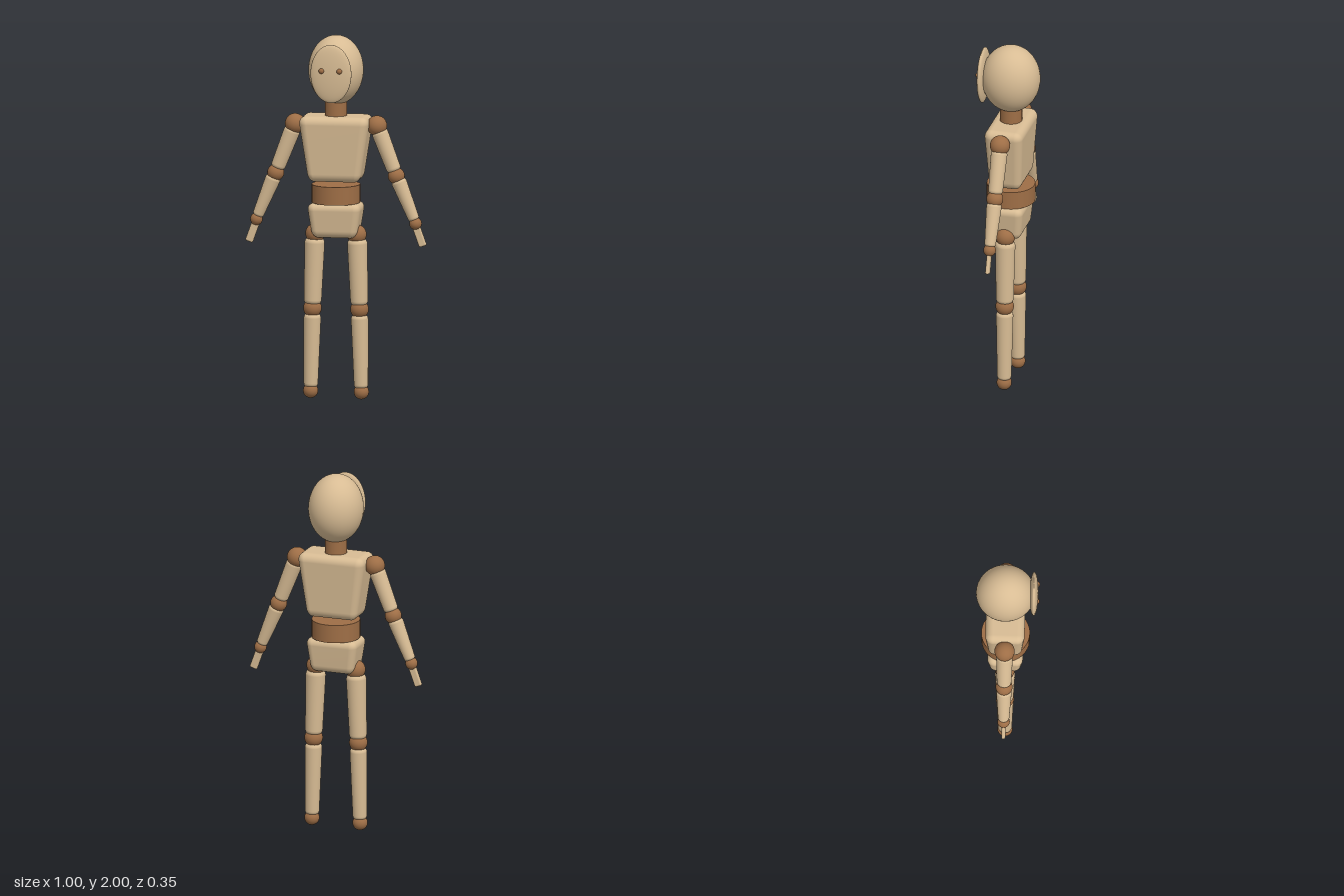
import * as THREE from 'three';
import { mergeVertices } from 'three/addons/utils/BufferGeometryUtils.js';
import { RoundedBoxGeometry } from 'three/addons/geometries/RoundedBoxGeometry.js';

const lightWood = new THREE.MeshStandardMaterial({ color: 0xd8bc94, name: 'lightWood' });
const darkWood = new THREE.MeshStandardMaterial({ color: 0x9e6e46, name: 'darkWood' });
const Z = -0.012; // depth of the body axis

function add(parent, name, geometry, material, x, y, z = Z) {
  const mesh = new THREE.Mesh(geometry, material);
  mesh.name = name;
  mesh.position.set(x, y, z);
  parent.add(mesh);
  return mesh;
}

function ball(parent, name, material, [x, y, z = Z], rx, ry = rx, rz = rx) {
  const geometry = new THREE.SphereGeometry(1, 40, 28).scale(rx, ry, rz);
  return add(parent, name, geometry, material, x, y, z);
}

// Rounded block that narrows towards its bottom
function taperedBlock(width, height, depth, radius, bottomX, bottomZ) {
  let geometry = new RoundedBoxGeometry(width, height, depth, 6, radius);
  const p = geometry.attributes.position;
  for (let i = 0; i < p.count; i++) {
    const t = 0.5 - p.getY(i) / height;
    p.setX(i, p.getX(i) * THREE.MathUtils.lerp(1, bottomX, t));
    p.setZ(i, p.getZ(i) * THREE.MathUtils.lerp(1, bottomZ, t));
  }
  geometry.deleteAttribute('normal');
  geometry.deleteAttribute('uv');
  geometry = mergeVertices(geometry, 1e-5);
  geometry.computeVertexNormals();
  return geometry;
}

// Turn a part so its own y axis runs from b up to a
function aim(mesh, a, b) {
  mesh.rotation.z = Math.atan2(b[0] - a[0], a[1] - b[1]);
  return mesh;
}

// Turned limb with rounded ends from a (top) to b (bottom)
function limb(parent, name, a, b, ra, rb) {
  const h = Math.hypot(a[0] - b[0], a[1] - b[1]) / 2;
  const points = [];
  const steps = 6;
  for (let i = 0; i <= steps; i++) {
    const t = (i / steps) * Math.PI / 2, c = rb * 0.55;
    points.push(new THREE.Vector2(rb - c + c * Math.sin(t), -h + c * (1 - Math.cos(t))));
  }
  for (let i = 0; i <= steps; i++) {
    const t = (i / steps) * Math.PI / 2, c = ra * 0.55;
    points.push(new THREE.Vector2(ra - c + c * Math.cos(t), h - c * (1 - Math.sin(t))));
  }
  points.unshift(new THREE.Vector2(0, -h));
  points.push(new THREE.Vector2(0, h));
  const geometry = new THREE.LatheGeometry(points, 32);
  return aim(add(parent, name, geometry, lightWood, (a[0] + b[0]) / 2, (a[1] + b[1]) / 2), a, b);
}

export function createModel() {
  const model = new THREE.Group();
  model.name = 'jointedFigure';

  // Head with raised face plate
  ball(model, 'head', lightWood, [0, 1.81], 0.15, 0.19, 0.161);
  ball(model, 'facePlate', lightWood, [0, 1.81, 0.142], 0.113, 0.16, 0.025);

  // Trunk
  add(model, 'neck', new THREE.CylinderGeometry(0.061, 0.061, 0.12, 40), darkWood, 0, 1.6);
  add(model, 'chest', taperedBlock(0.394, 0.36, 0.218, 0.045, 0.72, 0.82), lightWood, 0, 1.38);
  add(model, 'waist', new THREE.CylinderGeometry(0.132, 0.132, 0.1, 48), darkWood, 0, 1.132);
  add(model, 'pelvis', taperedBlock(0.3, 0.19, 0.2, 0.04, 0.81, 0.81), lightWood, 0, 0.987);

  for (const [side, s] of [['left', 1], ['right', -1]]) {
    const at = (x, y) => [s * x, y];
    ball(model, side + 'Eye', darkWood, [s * 0.049, 1.828, 0.158], 0.016);

    // Arm
    const arm = new THREE.Group();
    arm.name = side + 'Arm';
    model.add(arm);
    ball(arm, 'shoulder', darkWood, at(0.226, 1.508), 0.055);
    limb(arm, 'upperArm', at(0.236, 1.486), at(0.324, 1.258), 0.045, 0.04);
    ball(arm, 'elbow', darkWood, at(0.333, 1.235), 0.046);
    limb(arm, 'forearm', at(0.341, 1.218), at(0.433, 0.993), 0.042, 0.031);
    ball(arm, 'wrist', darkWood, at(0.439, 0.976), 0.034);
    const top = at(0.439, 0.967), tip = at(0.481, 0.85);
    const hand = new RoundedBoxGeometry(0.044, 0.124, 0.022, 4, 0.01);
    aim(add(arm, 'hand', hand, lightWood, s * 0.46, 0.909), top, tip);

    // Leg
    const leg = new THREE.Group();
    leg.name = side + 'Leg';
    model.add(leg);
    ball(leg, 'hip', darkWood, at(0.115, 0.907), 0.053);
    limb(leg, 'thigh', at(0.117, 0.885), at(0.129, 0.515), 0.055, 0.048);
    ball(leg, 'knee', darkWood, at(0.13, 0.495), 0.05);
    limb(leg, 'shin', at(0.13, 0.467), at(0.139, 0.06), 0.047, 0.039);
    ball(leg, 'foot', darkWood, at(0.14, 0.041), 0.041);
  }
  return model;
}
